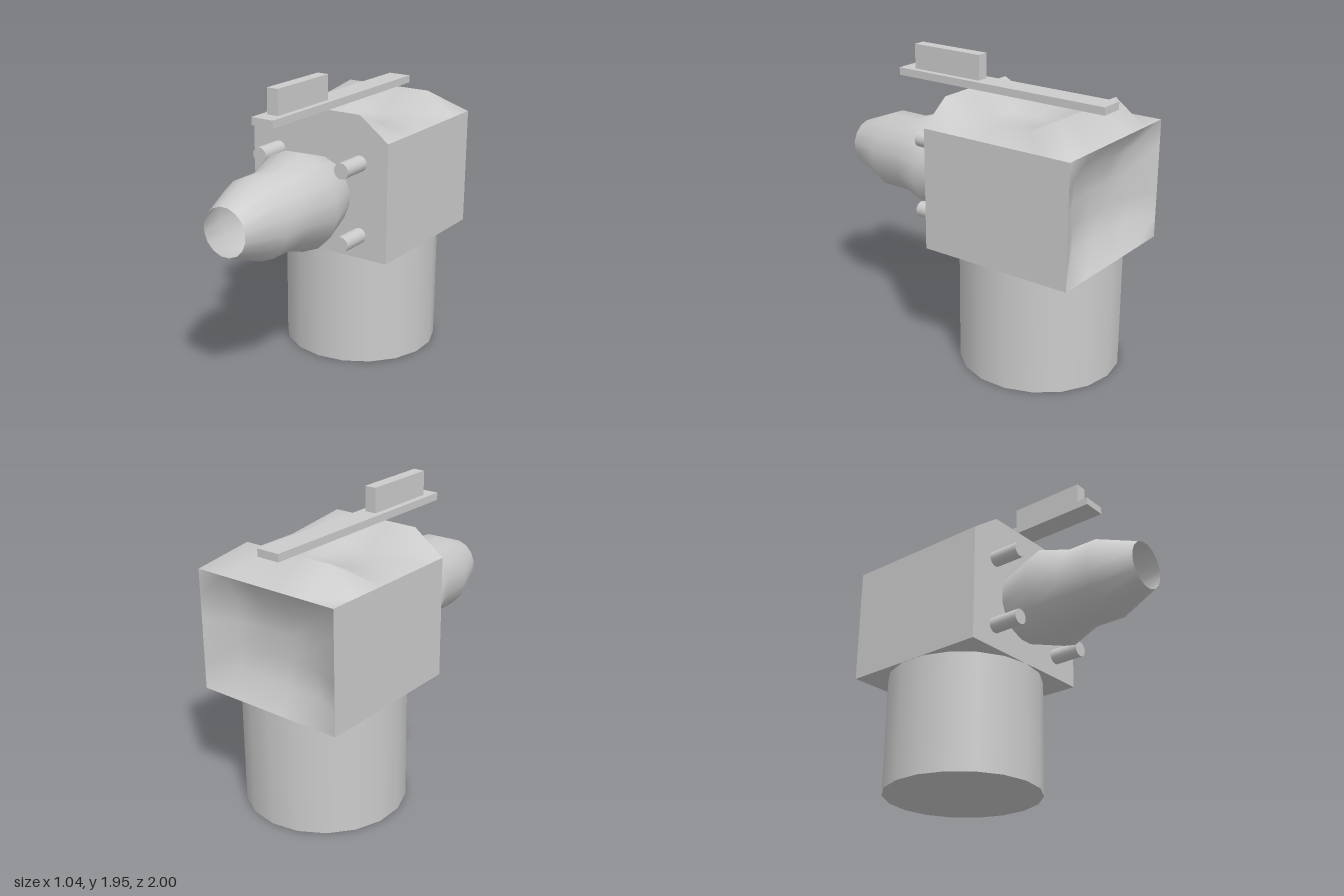
import * as THREE from 'three';

const grey = new THREE.MeshStandardMaterial({ color: 0xcccccc });
const thin = new THREE.MeshStandardMaterial({ color: 0xcccccc, side: THREE.DoubleSide });

export function createModel() {
  const model = new THREE.Group();
  const add = (name, geometry, x, y, z, material = grey) => {
    const mesh = new THREE.Mesh(geometry, material);
    mesh.name = name;
    mesh.position.set(x, y, z);
    model.add(mesh);
    return mesh;
  };

  // Round base
  add('base', new THREE.CylinderGeometry(0.525, 0.525, 0.79, 18), 0, 0.395, -0.475);

  // Housing: subdivided block with a ridged, sunken top and a dished back
  const body = new THREE.BoxGeometry(1.04, 0.79, 1.05, 5, 5, 5);
  const p = body.attributes.position;
  const outerRise = [0, 0.155, 0.05, 0.05, 0.05, 0.155]; // rows from back to front
  const innerRise = [0, 0.155, 0, 0, 0, 0.155];
  for (let i = 0; i < p.count; i++) {
    const x = Math.abs(p.getX(i)), y = p.getY(i), z = p.getZ(i);
    const inside = x < 0.5;
    if (inside && y > 0.39) {
      const row = Math.round((z + 0.525) / 0.21);
      p.setY(i, y + (x > 0.2 ? outerRise : innerRise)[row]);
    }
    if (inside && z < -0.52 && Math.abs(y) < 0.39) {
      p.setZ(i, z + (x < 0.2 && Math.abs(y) < 0.1 ? 0.12 : 0.1));
    }
  }
  body.computeVertexNormals();
  add('housing', body, 0, 1.185, -0.475);

  // Hollow nozzle, flat facets at top and sides
  const profile = [[0.245, 0.05], [0.33, 0.315], [0.262, 0.52], [0.262, 0.73], [0.157, 1]]
    .map(([r, z]) => new THREE.Vector2(r, z));
  const nozzle = new THREE.LatheGeometry(profile, 16, Math.PI / 16);
  nozzle.rotateX(Math.PI / 2);
  add('nozzle', nozzle, 0, 1.185, 0, thin);

  // Four studs around the nozzle
  const stud = new THREE.CylinderGeometry(0.052, 0.052, 0.21, 16).rotateX(Math.PI / 2);
  for (const x of [-0.315, 0.315]) {
    for (const y of [0.945, 1.425]) add('stud', stud, x, y, 0.155);
  }

  // Top rail and the block on it
  add('topRail', new THREE.BoxGeometry(0.16, 0.05, 1.575), 0, 1.76, -0.16);
  add('railBlock', new THREE.BoxGeometry(0.08, 0.165, 0.525), 0, 1.867, 0.262);

  return model;
}
